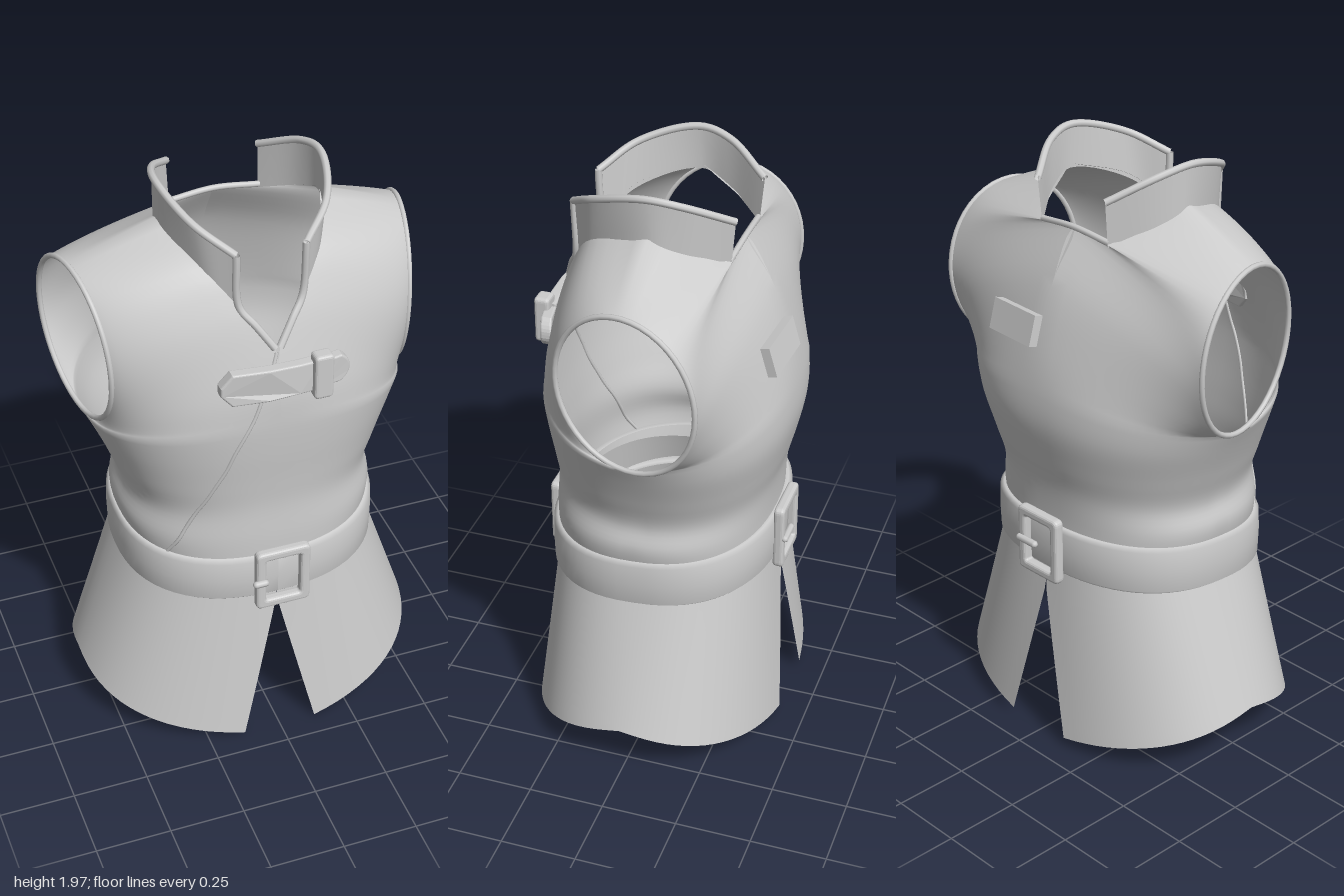
import * as THREE from 'three';
import { mergeGeometries, mergeVertices } from 'three/addons/utils/BufferGeometryUtils.js';

const { lerp } = THREE.MathUtils;
const V = (x, y, z) => new THREE.Vector3(x, y, z);
const spline = (pts, closed = false) => new THREE.CatmullRomCurve3(pts.map(p => V(...p)), closed);
const spow = c => Math.sign(c) * Math.pow(Math.abs(c), 0.85);

// Surface through fn(u, v), u and v from 0 to 1
function grid(nu, nv, fn, flip = false) {
  const pos = [], idx = [];
  for (let j = 0; j <= nv; j++) for (let i = 0; i <= nu; i++) pos.push(...fn(i / nu, j / nv));
  for (let j = 0; j < nv; j++) for (let i = 0; i < nu; i++) {
    const a = j * (nu + 1) + i, b = a + 1, c = b + nu + 1, d = a + nu + 1;
    if (flip) idx.push(a, c, b, a, d, c);
    else idx.push(a, b, c, a, c, d);
  }
  const g = new THREE.BufferGeometry();
  g.setAttribute('position', new THREE.Float32BufferAttribute(pos, 3));
  g.setIndex(idx);
  g.computeVertexNormals();
  return g;
}

// Join front and back quarters, mirrored in x, into one smooth skin
function quarters(nu, nv, fn) {
  const parts = [];
  for (const sx of [1, -1]) for (const sz of [1, -1])
    parts.push(grid(nu, nv, (u, v) => {
      const [x, y, z] = fn(u, v, sz);
      return [x * sx, y, z];
    }, sx * sz < 0));
  const g = mergeGeometries(parts);
  g.deleteAttribute('normal');
  const welded = mergeVertices(g, 1e-4);
  welded.computeVertexNormals();
  return welded;
}

// Torso guide lines: centre and neckline (front, back), side seam, arm opening
const frontLine = spline([[0, .70, .365], [0, .82, .365], [0, .95, .36], [0, 1.05, .367], [0, 1.18, .38], [0, 1.3, .387],
  [0, 1.42, .383], [.008, 1.55, .35], [.1, 1.68, .29], [.19, 1.79, .2], [.265, 1.86, 0]]);
const backLine = spline([[0, .72, -.35], [0, .84, -.35], [0, .95, -.36], [0, 1.05, -.385], [0, 1.18, -.41], [0, 1.3, -.405],
  [0, 1.45, -.375], [0, 1.63, -.315], [0, 1.78, -.225], [.15, 1.765, -.22], [.265, 1.86, 0]]);
const sideSeam = spline([[.405, .72, 0], [.425, .83, 0], [.408, .91, 0], [.442, 1.02, 0], [.487, 1.13, -.01], [.52, 1.2, -.015]]);
function armRim(a) {
  const z = -.015 + .235 * Math.cos(a);
  return V(.525 + .012 * Math.sin(a) - .19 * z, 1.472 + .272 * Math.sin(a), z);
}

function torsoPoint(u, v, sz) {
  const w = v * 2;
  const I = (sz > 0 ? frontLine : backLine).getPoint(v);
  let O;
  if (w <= 1) O = sideSeam.getPoint(w);
  else {
    const a = -Math.PI / 2 + (w - 1) * Math.PI;
    O = armRim(sz > 0 ? a : Math.PI - a);
  }
  const k = w <= 1 ? 1 : 1 - .9 * (w - 1), t = u * Math.PI / 2;
  const fx = lerp(u, spow(Math.sin(t)), k), fz = lerp(u, 1 - spow(Math.cos(t)), k);
  return [lerp(I.x, O.x, fx), lerp(I.y, O.y, u), lerp(I.z, O.z, fz)];
}

// Skirt quarter: flares to a curved hem and leaves a split at the centre
function skirtPoint(u, v, sz) {
  const hem = sz > 0 ? .01 : .045;
  const a = lerp(.4, .58, v), b = lerp(.355, sz > 0 ? .425 : .42, v);
  const split = .125 * Math.max(0, (v - .22) / .78);
  const t = lerp(Math.asin(Math.pow(split / a, 1 / .85)), Math.PI / 2, u);
  const y = lerp(.73, lerp(hem, .21, t / (Math.PI / 2)), v);
  return [a * spow(Math.sin(t)), y, sz * b * spow(Math.cos(t))];
}

// Collar wing guide lines
const collarBase = spline([[.1, 1.67, .288], [.19, 1.775, .2], [.262, 1.845, 0], [.235, 1.81, -.1], [.147, 1.75, -.225]]);
const collarTop = spline([[.11, 1.865, .29], [.21, 1.935, .19], [.262, 1.988, .01], [.24, 1.97, -.1], [.15, 1.9, -.238]]);

function roundedRect(path, x0, y0, x1, y1, r) {
  path.moveTo(x0 + r, y0);
  path.lineTo(x1 - r, y0); path.quadraticCurveTo(x1, y0, x1, y0 + r);
  path.lineTo(x1, y1 - r); path.quadraticCurveTo(x1, y1, x1 - r, y1);
  path.lineTo(x0 + r, y1); path.quadraticCurveTo(x0, y1, x0, y1 - r);
  path.lineTo(x0, y0 + r); path.quadraticCurveTo(x0, y0, x0 + r, y0);
  return path;
}
const extrude = (shape, depth, bevel) => new THREE.ExtrudeGeometry(shape, {
  depth, bevelEnabled: true, bevelThickness: bevel, bevelSize: bevel, bevelOffset: -bevel, bevelSegments: 3, curveSegments: 5 });

// Frame with an open middle, centred on the origin
function frame(w, h, bar, depth) {
  const s = roundedRect(new THREE.Shape(), -w / 2, -h / 2, w / 2, h / 2, bar * .6);
  s.holes.push(roundedRect(new THREE.Path(), -w / 2 + bar, -h / 2 + bar, w / 2 - bar, h / 2 - bar, .008));
  const g = extrude(s, depth * .4, depth * .3);
  g.translate(0, 0, -depth * .2);
  return g;
}

export function createModel() {
  const group = new THREE.Group();
  const mat = new THREE.MeshStandardMaterial({ color: 0xcccccc, side: THREE.DoubleSide });
  mat.name = 'light grey';
  const add = (name, geo, parent = group) => {
    const m = new THREE.Mesh(geo, mat);
    m.name = name;
    parent.add(m);
    return m;
  };
  const tube = (curve, r, n = 40, closed = false) => new THREE.TubeGeometry(curve, n, r, 8, closed);

  add('torso', quarters(18, 48, torsoPoint));
  add('skirt', quarters(18, 16, skirtPoint));

  // Collar wings and rolled edges, mirrored
  for (const s of [1, -1]) {
    const side = new THREE.Group();
    side.name = s > 0 ? 'leftTrim' : 'rightTrim';
    side.scale.x = s;
    group.add(side);
    add('collarWing', grid(28, 5, (u, v) => {
      const p = collarBase.getPoint(u).lerp(collarTop.getPoint(u), v);
      return [p.x, p.y, p.z];
    }), side);
    add('collarEdge', tube(collarTop, .012), side);
    add('collarFrontEdge', tube(spline([[.008, 1.55, .35], [.06, 1.625, .318], [.1, 1.68, .29], [.11, 1.865, .29]]), .012, 24), side);
    const rim = Array.from({ length: 24 }, (_, i) => armRim(i / 24 * Math.PI * 2).toArray());
    add('armholeRim', tube(spline(rim, true), .009, 48, true), side);
  }
  add('backNeckEdge', tube(spline([[-.15, 1.765, -.22], [0, 1.778, -.225], [.15, 1.765, -.22]]), .01, 16));

  // Wrap seam running from the neck point down to the right of the belt
  const seam = [];
  for (let i = 0; i <= 12; i++) {
    const v = lerp(.05, .69, i / 12), target = lerp(.33, 0, i / 12);
    let u = 0;
    while (u < 1 && torsoPoint(u, v, 1)[0] < target) u += .01;
    const [x, y, z] = torsoPoint(u, v, 1);
    seam.push([-x, y, z]);
  }
  add('wrapSeam', tube(spline(seam), .006));

  // Belt, higher at the back
  const profile = [[-.02, -.08], [0, -.083], [.012, -.07], [.014, 0], [.012, .07], [0, .083], [-.02, .08]];
  add('belt', grid(64, 6, (u, v) => {
    const [dr, dy] = profile[Math.round(v * 6)], t = u * Math.PI * 2;
    const c = spow(Math.cos(t)), z = c * ((c > 0 ? .37 : .36) + dr);
    return [spow(Math.sin(t)) * (.423 + dr), .703 - .07 * z + dy, z];
  }));

  // Belt buckles, front and back
  for (const [name, x, y, z, turn, prongX] of [['front', .012, .675, .388, 0, -.08], ['back', .005, .735, -.383, Math.PI, -.045]]) {
    const buckle = new THREE.Group();
    buckle.name = name + 'Buckle';
    buckle.position.set(x, y, z);
    buckle.rotation.y = turn;
    group.add(buckle);
    add('buckleFrame', frame(.185, .23, .034, .036), buckle);
    const prong = add('buckleProng', new THREE.CapsuleGeometry(.012, turn ? .07 : .03, 4, 8), buckle);
    prong.rotation.z = Math.PI / 2;
    prong.position.set(prongX, 0, .02);
  }

  // Chest strap with pointed end, keeper loop and rounded tip, bent round the chest
  const bend = g => {
    const p = g.attributes.position;
    for (let i = 0; i < p.count; i++) p.setZ(i, p.getZ(i) - .6 * p.getX(i) ** 2);
    g.computeVertexNormals();
    return g;
  };
  const strap = new THREE.Shape();
  [[-.19, 1.43], [-.155, 1.39], [-.04, 1.39], [.06, 1.393], [.13, 1.393], [.13, 1.5], [.06, 1.503], [-.04, 1.505], [-.155, 1.505], [-.19, 1.46]]
    .forEach(([x, y], i) => i ? strap.lineTo(x, y) : strap.moveTo(x, y));
  add('chestStrap', bend(extrude(strap, .025, .006))).position.z = .368;
  const tip = new THREE.Shape();
  tip.moveTo(.12, 1.395); tip.lineTo(.2, 1.395);
  tip.quadraticCurveTo(.235, 1.415, .23, 1.445);
  tip.quadraticCurveTo(.23, 1.47, .2, 1.492); tip.lineTo(.12, 1.492);
  add('strapTip', bend(extrude(tip, .025, .006))).position.z = .368;
  const loop = extrude(roundedRect(new THREE.Shape(), -.031, -.078, .031, .078, .015), .03, .01);
  add('strapLoop', loop).position.set(.13, 1.45, .375);

  // Small patch on the back
  const patch = add('backPatch', new THREE.BoxGeometry(.205, .1, .03));
  patch.position.set(.11, 1.475, -.375);
  patch.rotation.set(.28, -.08, 0);
  return group;
}
